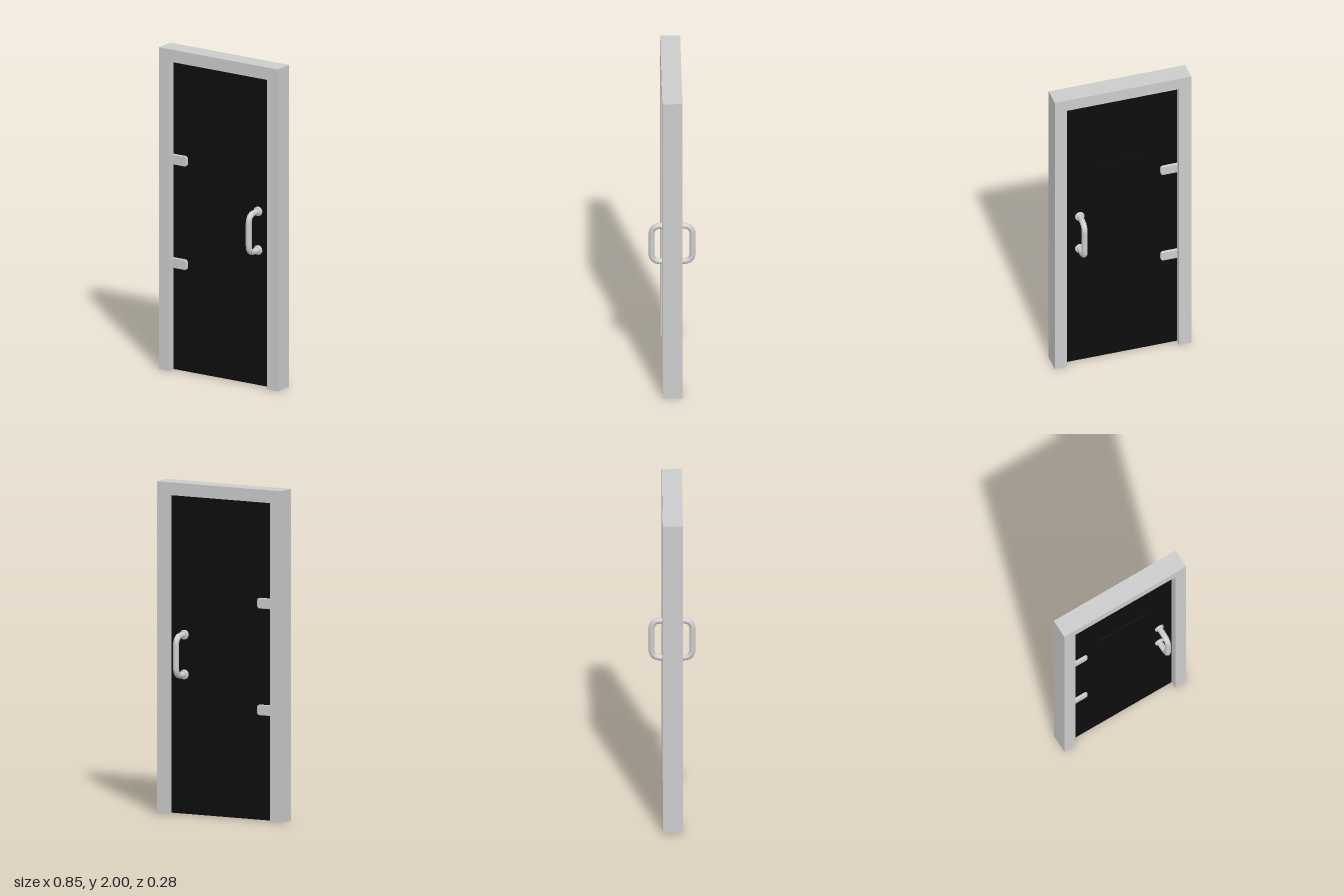
import * as THREE from 'three';

const grey = new THREE.MeshStandardMaterial({ color: 0xcccccc });
const shell = new THREE.MeshStandardMaterial({ color: 0xcccccc, side: THREE.DoubleSide });
const black = new THREE.MeshStandardMaterial({ color: 0x0d0d0d });

const FACE = 0.02; // half thickness of the door leaf

function add(parent, name, geometry, material, x = 0, y = 0, z = 0) {
  const mesh = new THREE.Mesh(geometry, material);
  mesh.name = name;
  mesh.position.set(x, y, z);
  parent.add(mesh);
  return mesh;
}

function polygon(points) {
  return new THREE.Shape(points.map(([x, y]) => new THREE.Vector2(x, y)));
}

// Hollow door frame: an extruded arch with the faces on the floor left out
function frameGeometry() {
  const W = 0.427, w = 0.35, top = 2, inner = 1.923, depth = 0.12;
  const arch = polygon([[-W, 0], [-w, 0], [-w, inner], [w, inner], [w, 0], [W, 0], [W, top], [-W, top]]);
  const geo = new THREE.ExtrudeGeometry(arch, { depth, bevelEnabled: false });
  geo.translate(0, 0, -depth / 2);
  const p = geo.attributes.position, kept = [];
  for (let i = 0; i < p.count; i += 3) {
    if (Math.max(p.getY(i), p.getY(i + 1), p.getY(i + 2)) > 0.001) kept.push(i, i + 1, i + 2);
  }
  geo.clearGroups();
  geo.setIndex(kept);
  return geo;
}

// Door leaf with a rectangular window opening
function leafGeometry() {
  const w = 0.36;
  const leaf = polygon([[-w, 0.004], [w, 0.004], [w, 1.93], [-w, 1.93]]);
  leaf.holes.push(polygon([[-0.165, 1.44], [-0.165, 1.71], [0.165, 1.71], [0.165, 1.44]]));
  const geo = new THREE.ExtrudeGeometry(leaf, { depth: FACE * 2, bevelEnabled: false });
  return geo.translate(0, 0, -FACE);
}

// Hinge plate, square at the frame and rounded at the free end
function hingeGeometry() {
  const L = 0.105, h = 0.032, r = 0.02, b = 0.004;
  const s = new THREE.Shape();
  s.moveTo(-0.008, -h + b);
  s.lineTo(L - r, -h + b);
  s.quadraticCurveTo(L - b, -h + b, L - b, -h + r);
  s.lineTo(L - b, h - r);
  s.quadraticCurveTo(L - b, h - b, L - r, h - b);
  s.lineTo(-0.008, h - b);
  return new THREE.ExtrudeGeometry(s, {
    depth: 0.01, bevelThickness: b, bevelSize: b, bevelSegments: 3, curveSegments: 8,
  });
}

// Pull handle: a bent bar with its two feet on the door face
function handleGeometry(y0, y1, reach, bend) {
  const v = (y, z) => new THREE.Vector3(0, y, z);
  const path = new THREE.CurvePath();
  path.add(new THREE.LineCurve3(v(y0, 0), v(y0, reach - bend)));
  path.add(new THREE.QuadraticBezierCurve3(v(y0, reach - bend), v(y0, reach), v(y0 + bend, reach)));
  path.add(new THREE.LineCurve3(v(y0 + bend, reach), v(y1 - bend, reach)));
  path.add(new THREE.QuadraticBezierCurve3(v(y1 - bend, reach), v(y1, reach), v(y1, reach - bend)));
  path.add(new THREE.LineCurve3(v(y1, reach - bend), v(y1, 0)));
  return new THREE.TubeGeometry(path, 72, 0.018, 20);
}

// Domed rosette where the handle meets the door
function rosetteGeometry() {
  const profile = [[0.029, 0], [0.029, 0.008], [0.027, 0.012], [0.022, 0.014], [0.016, 0.014]];
  const geo = new THREE.LatheGeometry(profile.map(([r, h]) => new THREE.Vector2(r, h)), 28);
  return geo.rotateX(Math.PI / 2);
}

// Fittings on one door face; side = 1 for the front, -1 for the back
function fittings(side) {
  const group = new THREE.Group();
  group.name = side > 0 ? 'frontFittings' : 'backFittings';
  // The back is the front turned round, with the x positions swapped
  if (side < 0) group.rotation.y = Math.PI;

  const handle = new THREE.Group();
  handle.name = 'handle';
  handle.position.set(0.26 * side, 0, FACE);
  add(handle, 'handleBar', handleGeometry(0.843, 1.083, 0.102, 0.055), grey);
  for (const y of [0.843, 1.083]) add(handle, 'handleRosette', rosetteGeometry(), shell, 0, y);
  group.add(handle);

  for (const y of [0.667, 1.31]) {
    const hinge = add(group, 'hinge', hingeGeometry(), grey, -0.35 * side, y, FACE);
    if (side < 0) {
      hinge.rotation.z = Math.PI;
    }
  }
  return group;
}

export function createModel() {
  const model = new THREE.Group();
  model.name = 'door';
  add(model, 'doorFrame', frameGeometry(), shell);
  add(model, 'doorLeaf', leafGeometry(), black);
  // Dark pane set slightly back from both faces
  add(model, 'windowPane', new THREE.BoxGeometry(0.33, 0.27, FACE * 2 - 0.012), black, 0, 1.575);
  model.add(fittings(1), fittings(-1));
  return model;
}
